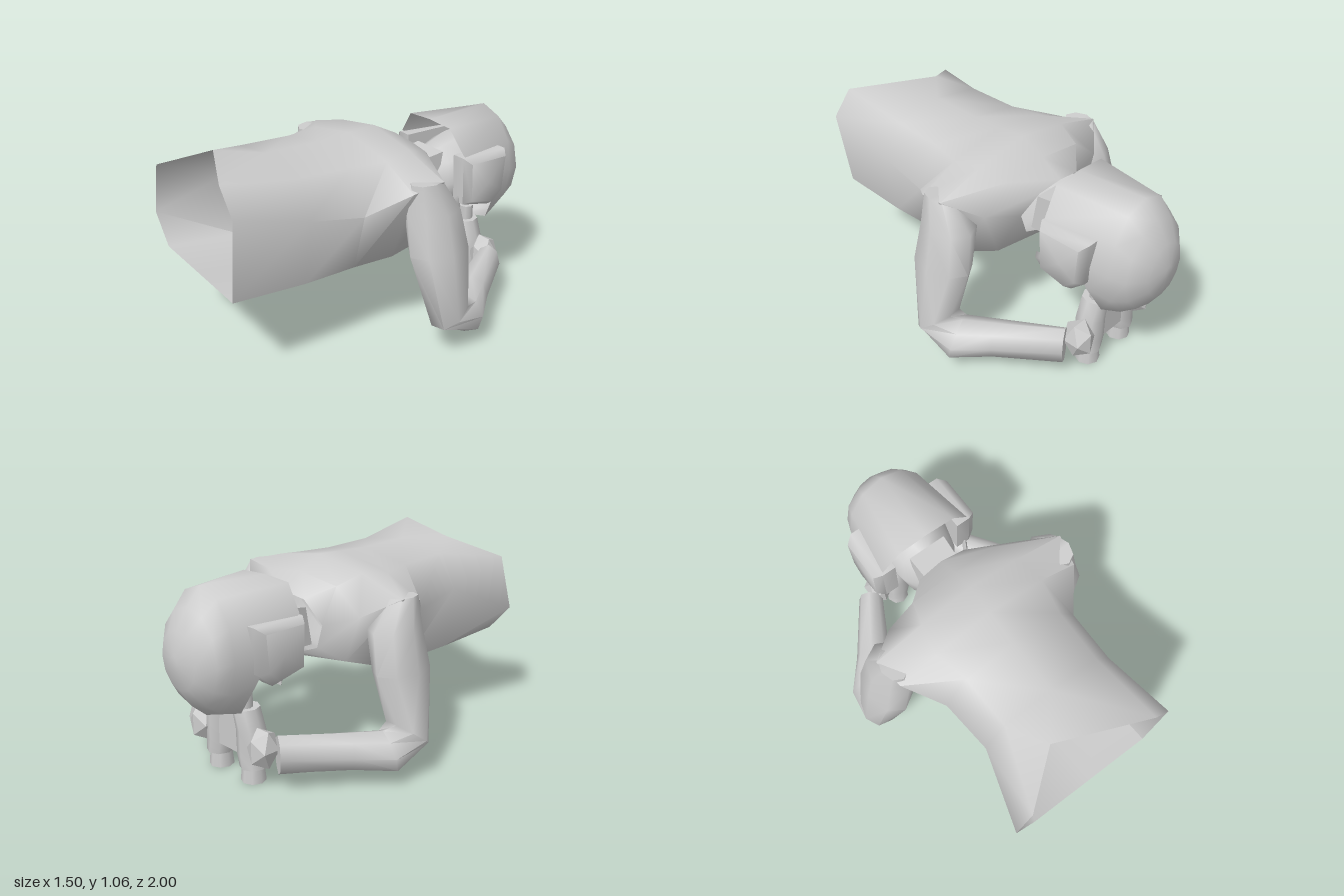
import * as THREE from 'three';
import { toCreasedNormals } from 'three/addons/utils/BufferGeometryUtils.js';

const grey = new THREE.MeshStandardMaterial({ color: 0xcccccc, side: THREE.DoubleSide });
grey.name = 'plain grey';

// Skin a list of equal-length closed rings of [x, y, z] points
function loft(rings, capStart = false, capEnd = false) {
  const n = rings[0].length;
  const points = rings.flat();
  const index = [];
  for (let r = 0; r < rings.length - 1; r++) {
    for (let i = 0; i < n; i++) {
      const j = (i + 1) % n;
      const a = r * n + i, b = r * n + j, c = a + n, d = b + n;
      index.push(a, b, c, b, d, c);
    }
  }
  const cap = (r, flip) => {
    const mid = [0, 1, 2].map((k) => rings[r].reduce((s, p) => s + p[k], 0) / n);
    const m = points.push(mid) - 1;
    for (let i = 0; i < n; i++) {
      const a = r * n + i, b = r * n + (i + 1) % n;
      index.push(...(flip ? [m, b, a] : [m, a, b]));
    }
  };
  if (capStart) cap(0, true);
  if (capEnd) cap(rings.length - 1, false);
  const geo = new THREE.BufferGeometry();
  geo.setAttribute('position', new THREE.Float32BufferAttribute(points.flat(), 3));
  geo.setIndex(index);
  return toCreasedNormals(geo, 1.2);
}

// Oval ring: centre plus two half-axes
function oval(c, u, v, n = 8) {
  return Array.from({ length: n }, (_, i) => {
    const t = (i / n) * Math.PI * 2;
    return c.map((p, k) => p + u[k] * Math.cos(t) + v[k] * Math.sin(t));
  });
}

// Complete a half ring (first and last points on x = 0) by mirroring it
const mirrorRing = (half) => [
  ...half,
  ...half.slice(1, -1).reverse().map(([x, y, z]) => [-x, y, z]),
];

function add(parent, name, geo) {
  const mesh = new THREE.Mesh(geo, grey);
  mesh.name = name;
  parent.add(mesh);
  return mesh;
}

// Torso lying face down, open at the waist and neck, widening to the shoulders
function torso(parent) {
  const waist = [
    [-0.17, 1.04, 0.8], [0.3, 1.06, 1], [0.41, 0.93, 1], [0.35, 0.49, 1],
    [0, 0.49, 1], [-0.37, 0.49, 1], [-0.5, 0.64, 1], [-0.42, 0.93, 1],
  ];
  // z, top y, [back edge], [side], [front edge], bottom y
  const sections = [
    [0.6, 1.035, [0.28, 0.99], [0.39, 0.81], [0.34, 0.46], 0.43],
    [0.3, 1.03, [0.29, 0.98], [0.41, 0.76], [0.32, 0.45], 0.38],
    [0.11, 1.04, [0.33, 0.98], [0.55, 0.88], [0.38, 0.48], 0.43],
    [-0.05, 1.05, [0.3, 1.0], [0.58, 0.92], [0.4, 0.53], 0.48],
    [-0.19, 0.98, [0.26, 0.95], [0.42, 0.82], [0.33, 0.57], 0.52],
  ].map(([z, top, a, b, c, bottom]) =>
    mirrorRing([[0, top, z], [...a, z], [...b, z], [...c, z], [0, bottom, z]]));
  const collar = mirrorRing([
    [0, 0.9, -0.31], [0.14, 0.88, -0.3], [0.2, 0.74, -0.23], [0.14, 0.6, -0.21], [0, 0.54, -0.2],
  ]);
  add(parent, 'torso', loft([waist, ...sections, collar]));
}

// Neck, face, helmet with ear flaps, and chin strap
function head(parent) {
  const square = (w, y0, y1, z0, z1) => [[w, y0, z0], [w, y1, z1], [-w, y1, z1], [-w, y0, z0]];
  add(parent, 'neck', loft([
    square(0.1, 0.61, 0.82, -0.21, -0.25),
    square(0.11, 0.62, 0.85, -0.4, -0.44),
  ]));

  add(parent, 'face', loft([
    oval([0, 0.645, -0.36], [0.1, 0, 0], [0, 0.185, -0.035], 10),
    oval([0, 0.67, -0.43], [0.17, 0, 0], [0, 0.2, -0.06], 10),
    oval([0, 0.71, -0.6], [0.21, 0, 0], [0, 0.19, 0], 10),
    oval([0, 0.72, -0.76], [0.21, 0, 0], [0, 0.2, 0], 10),
  ], false, true));

  const rim = mirrorRing([
    [0, 1.01, -0.43], [0.17, 1.0, -0.43], [0.27, 0.87, -0.45], [0.27, 0.72, -0.62],
    [0.25, 0.57, -0.71], [0.16, 0.4, -0.74], [0, 0.355, -0.74],
  ]);
  const dome = [
    [0.7, -0.83, 0.245, 0.33], [0.69, -0.91, 0.215, 0.25], [0.69, -0.975, 0.13, 0.15],
  ].map(([y, z, w, h]) => oval([0, y, z], [0, h, 0], [w, 0, 0], 12));
  const tip = oval([0, 0.69, -1], [0, 0.03, 0], [0.025, 0, 0], 12);
  add(parent, 'helmet', loft([rim, ...dome, tip], false, true));

  const flapOutline = [[0.86, -0.44], [0.86, -0.74], [0.62, -0.72], [0.55, -0.64], [0.59, -0.45]];
  for (const s of [1, -1]) {
    const flap = (x, k) =>
      flapOutline.map(([y, z]) => [s * x, 0.72 + (y - 0.72) * k, -0.58 + (z + 0.58) * k]);
    add(parent, s > 0 ? 'leftEarFlap' : 'rightEarFlap',
      loft([flap(0.2, 1), flap(0.28, 1), flap(0.325, 0.8)], true, true));
  }

  add(parent, 'chinStrap', loft([
    [0.25, 0.6, -0.45], [0.19, 0.53, -0.34], [0.1, 0.42, -0.32], [0, 0.42, -0.33],
  ].map((p) => oval(p, [0.008, 0, 0.012], [0, 0.035, 0.01], 4)), true, true));
}

// Bent arm with a hand on the binoculars
function arm(parent, s) {
  const group = new THREE.Group();
  group.name = s > 0 ? 'leftArm' : 'rightArm';
  parent.add(group);
  const rings = [
    [[0.52, 0.915, 0.01], [0.07, 0.005, 0], [0, 0, 0.09]],
    [[0.515, 0.76, -0.035], [0.125, 0, 0], [0, 0, 0.155]],
    [[0.57, 0.56, -0.04], [0.115, 0, 0], [0, 0, 0.18]],
    [[0.64, 0.24, -0.06], [0.11, -0.02, 0.02], [-0.01, -0.07, 0.1]],
    [[0.62, 0.17, -0.18], [0.1, 0, -0.05], [0.03, -0.1, 0.01]],
    [[0.5, 0.18, -0.34], [0.085, 0, -0.045], [0, -0.1, 0]],
    [[0.31, 0.195, -0.64], [0.06, 0, -0.035], [0, -0.105, 0]],
  ].map(([c, u, v]) => oval(c, u, v).map(([x, y, z]) => [s * x, y, z]));
  add(group, 'sleeve', loft(rings, true, true));

  const hand = new THREE.IcosahedronGeometry(1, 0);
  hand.scale(0.08, 0.115, 0.09);
  hand.translate(s * 0.235, 0.215, -0.67);
  add(group, 'hand', hand);
}

// Binoculars pointing down: paired tapered housings, bridge, eyepieces and barrels
function binoculars(parent) {
  const group = new THREE.Group();
  group.name = 'binoculars';
  parent.add(group);
  const bridge = new THREE.BoxGeometry(0.16, 0.24, 0.11);
  add(group, 'bridge', bridge).position.set(0, 0.27, -0.65);
  for (const s of [1, -1]) {
    add(group, 'housing', loft([
      [0.135, 0.08, 0.07], [0.123, 0.15, 0.08], [0.12, 0.28, 0.08], [0.085, 0.39, 0.07],
    ].map(([x, y, r]) => oval([s * x, y, -0.65], [r, 0, 0], [0, 0, -0.075])), true, true));
    const barrel = new THREE.CylinderGeometry(0.055, 0.066, 0.1, 8);
    add(group, 'barrel', barrel).position.set(s * 0.13, 0.05, -0.65);
    const eyepiece = new THREE.CylinderGeometry(0.04, 0.04, 0.1, 8);
    add(group, 'eyepiece', eyepiece).position.set(s * 0.085, 0.42, -0.655);
  }
}

export function createModel() {
  const model = new THREE.Group();
  model.name = 'proneObserver';
  torso(model);
  head(model);
  arm(model, 1);
  arm(model, -1);
  binoculars(model);
  return model;
}
